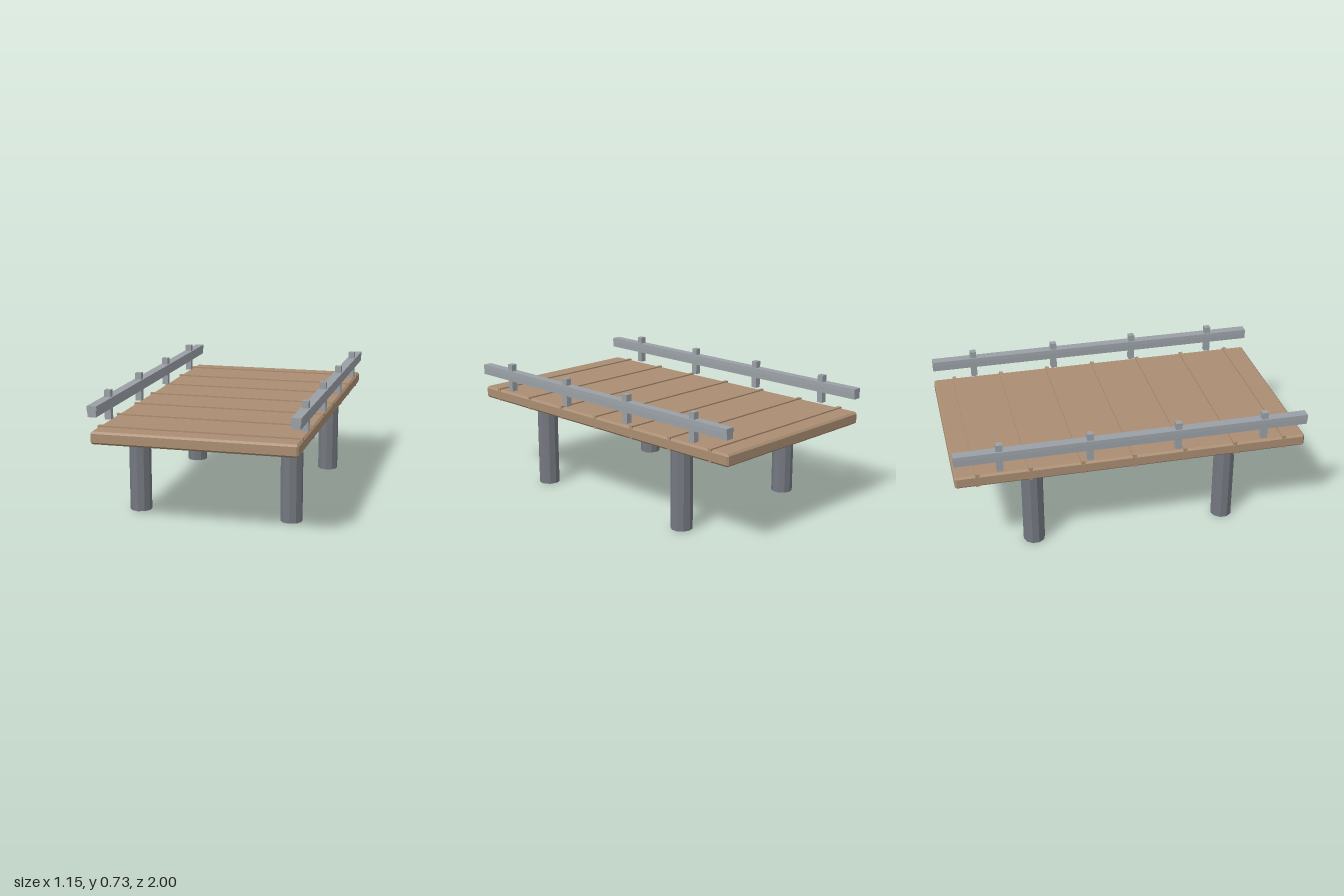
import * as THREE from 'three';
import { ConvexGeometry } from 'three/addons/geometries/ConvexGeometry.js';

function material(name, color) {
  const m = new THREE.MeshStandardMaterial({ color });
  m.name = name;
  return m;
}

// Box with every edge cut off at an angle
function chamferedBox(w, h, d, c) {
  const points = [];
  for (const sx of [-1, 1]) for (const sy of [-1, 1]) for (const sz of [-1, 1]) {
    const x = w / 2, y = h / 2, z = d / 2;
    points.push(
      new THREE.Vector3(sx * x, sy * (y - c), sz * (z - c)),
      new THREE.Vector3(sx * (x - c), sy * y, sz * (z - c)),
      new THREE.Vector3(sx * (x - c), sy * (y - c), sz * z));
  }
  return new ConvexGeometry(points);
}

export function createModel() {
  const model = new THREE.Group();
  model.name = 'footbridge';
  const wood = material('wood', 0xaa8d72);
  const metal = material('rail grey', 0x9aa0a6);
  const stone = material('pile grey', 0x74787f);
  stone.flatShading = true;

  const add = (name, geometry, mat, x, y, z) => {
    const mesh = new THREE.Mesh(geometry, mat);
    mesh.name = name;
    mesh.position.set(x, y, z);
    model.add(mesh);
  };

  // Deck with seven raised cross slats
  add('deck', chamferedBox(1.128, 0.07, 2, 0.011), wood, 0, 0.514, 0);
  const slat = new THREE.BoxGeometry(1.126, 0.076, 0.022);
  for (let i = -3; i <= 3; i++) add('slat', slat, wood, 0, 0.5185, i * 0.2917);

  // Handrail profile: a wider cap over a narrower beam
  const half = [[0.024, 0.628], [0.024, 0.664], [0.0285, 0.664], [0.027, 0.688]];
  const outline = [...half, ...half.map(([x, y]) => [-x, y]).reverse()];
  const railShape = new THREE.Shape(outline.map(([x, y]) => new THREE.Vector2(x, y)));
  const rail = new THREE.ExtrudeGeometry(railShape, { depth: 2, bevelEnabled: false });

  const post = new THREE.BoxGeometry(0.036, 0.164, 0.036);
  const pile = new THREE.CylinderGeometry(0.062, 0.062, 0.452, 10);

  // Rails, posts and piles on both sides
  for (const side of [-1, 1]) {
    add('handrail', rail, metal, side * 0.549, 0, -1);
    for (const z of [-0.75, -0.25, 0.25, 0.75]) add('railPost', post, metal, side * 0.549, 0.645, z);
    for (const z of [-0.5625, 0.5625]) add('pile', pile, stone, side * 0.439, 0.226, z);
  }
  return model;
}
